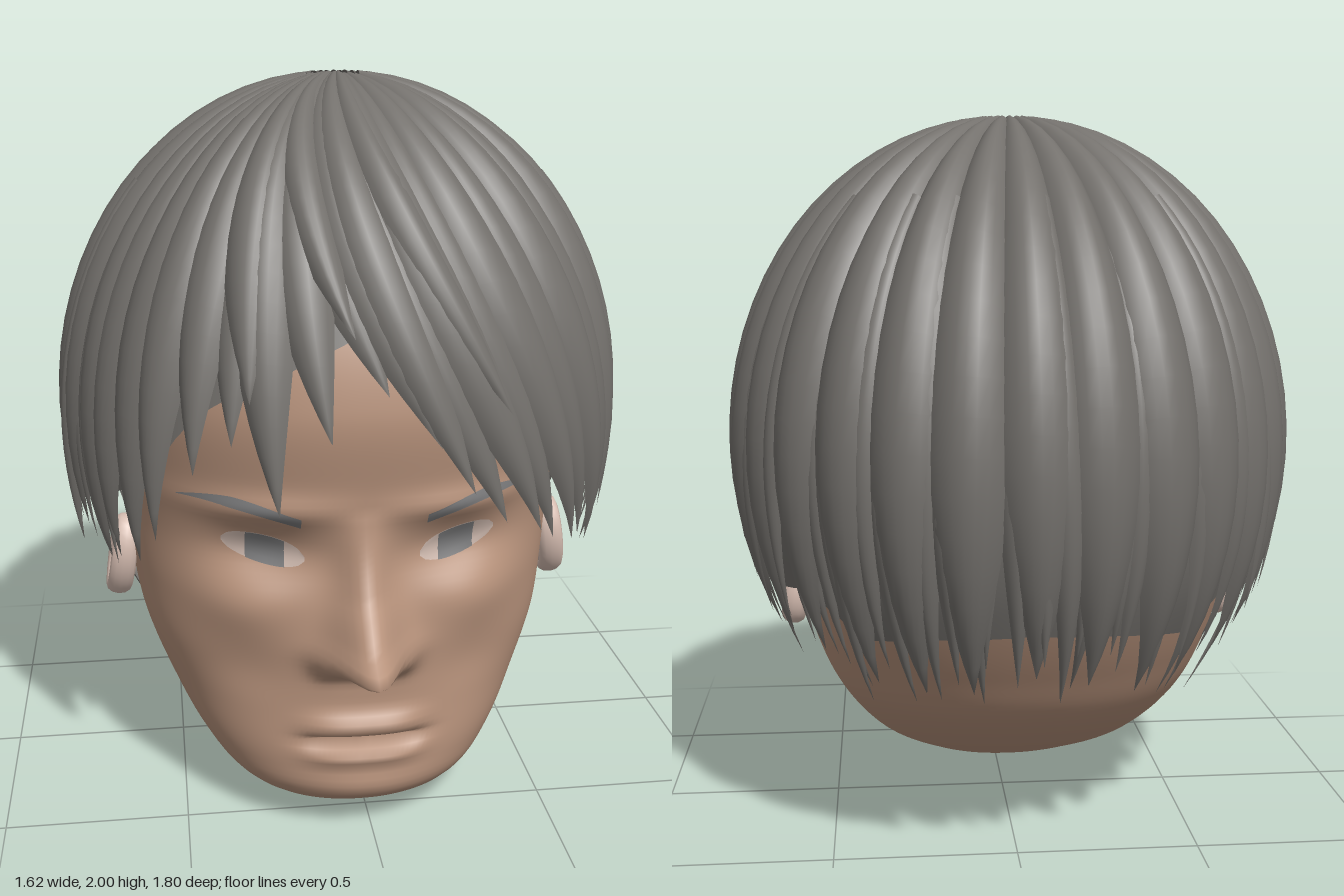
import * as THREE from 'three';
import { mergeVertices, mergeGeometries } from 'three/addons/utils/BufferGeometryUtils.js';

const mat = (name, color, side = THREE.FrontSide) => {
  const m = new THREE.MeshStandardMaterial({ color, side });
  m.name = name;
  return m;
};
const RAD = Math.PI / 180;
const clamp = THREE.MathUtils.clamp;

// Surface from fn(u, v) -> [x, y, z]; faces look along du x dv
function grid(nu, nv, fn) {
  const pos = [], idx = [];
  for (let j = 0; j <= nv; j++) for (let i = 0; i <= nu; i++) pos.push(...fn(i / nu, j / nv));
  for (let j = 0; j < nv; j++) for (let i = 0; i < nu; i++) {
    const a = j * (nu + 1) + i, b = a + 1, c = a + nu + 1, d = c + 1;
    idx.push(a, b, d, a, d, c);
  }
  let g = new THREE.BufferGeometry();
  g.setAttribute('position', new THREE.Float32BufferAttribute(pos, 3));
  g.setIndex(idx);
  g = mergeVertices(g, 1e-5);
  g.computeVertexNormals();
  return g;
}

// Smooth lookup in rows of [key, value, value, ...]
function lookup(keys, t, col, smooth = true) {
  const n = keys.length;
  let i = 0;
  while (i < n - 2 && t > keys[i + 1][0]) i++;
  const slope = k => {
    const a = keys[Math.max(k - 1, 0)], b = keys[Math.min(k + 1, n - 1)];
    return (b[col] - a[col]) / (b[0] - a[0]);
  };
  const a = keys[i], b = keys[i + 1], h = b[0] - a[0], s = clamp((t - a[0]) / h, 0, 1);
  if (!smooth) return a[col] + (b[col] - a[col]) * s;
  const s2 = s * s, s3 = s2 * s;
  return (2 * s3 - 3 * s2 + 1) * a[col] + (s3 - 2 * s2 + s) * h * slope(i)
    + (3 * s2 - 2 * s3) * b[col] + (s3 - s2) * h * slope(i + 1);
}

// Head sections: height, half width, back z, front z
const SECTIONS = [
  [0, 0.02, 0.33, 0.37], [0.03, 0.19, 0.18, 0.5], [0.1, 0.33, 0, 0.62], [0.2, 0.43, -0.22, 0.65],
  [0.35, 0.52, -0.43, 0.64], [0.5, 0.58, -0.54, 0.645], [0.65, 0.61, -0.63, 0.635], [0.8, 0.63, -0.7, 0.625],
  [0.95, 0.65, -0.74, 0.64], [1.2, 0.66, -0.76, 0.67], [1.5, 0.6, -0.66, 0.58], [1.75, 0.4, -0.45, 0.38],
  [1.86, 0.01, -0.05, -0.03],
];
const NOSE = [[0.46, 0], [0.5, 0.07], [0.535, 0.22], [0.56, 0.265], [0.6, 0.185], [0.7, 0.09], [0.8, 0.05], [0.93, 0]];
const P = 0.9;

function section(y) {
  const [w, zb, zf] = [1, 2, 3].map(c => lookup(SECTIONS, y, c));
  return { w: Math.max(w, 0.005), zc: (zf + zb) / 2, d: (zf - zb) / 2 };
}

// Relief of the face: nose, eye sockets, brows, cheeks, lips and chin
function relief(x, y) {
  const ax = Math.abs(x);
  const bump = (cx, cy, sx, sy, h) => h * Math.exp(-(((ax - cx) / sx) ** 2) - ((y - cy) / sy) ** 2);
  const lip = Math.exp(-((x / 0.16) ** 4));
  const noseWidth = 0.06 + 0.035 * clamp((0.75 - y) / 0.22, 0, 1);
  let z = 0;
  if (y > 0.46 && y < 0.93) z += lookup(NOSE, y, 1, false) * Math.exp(-((x / noseWidth) ** 2));
  z += bump(0.25, 0.8, 0.15, 0.075, -0.045) + bump(0.26, 0.93, 0.2, 0.04, 0.022);
  z += bump(0.33, 0.66, 0.13, 0.08, 0.022) + bump(0.3, 0.47, 0.13, 0.09, -0.02);
  z += bump(0.1, 0.51, 0.04, 0.035, 0.03) + bump(0, 0.14, 0.17, 0.06, 0.02);
  z += lip * (bump(0, 0.325, 1, 0.03, 0.03) + bump(0, 0.24, 1, 0.025, 0.025) + bump(0, 0.278, 1, 0.013, -0.04));
  return z;
}

function frontZ(x, y) {
  const { w, zc, d } = section(y);
  const s = Math.min(1, (Math.abs(x) / w) ** (2 / P));
  return zc + d * (1 - s) ** (P / 2) + relief(x, y);
}

function headGeometry() {
  return grid(120, 100, (u, v) => {
    const t = (u * 2 - 1) * Math.PI, a = t - 0.5 * Math.sin(t), y = v * 1.86;
    const { w, zc, d } = section(y);
    const sn = Math.sin(a), cs = Math.cos(a);
    const x = Math.abs(u - 0.5) > 0.4999 ? 0 : w * Math.sign(sn) * Math.abs(sn) ** P;
    const z = zc + d * Math.sign(cs) * Math.abs(cs) ** P + relief(x, y) * clamp(cs * 3, 0, 1);
    return [x, y, z];
  });
}

// Thin patch lying on the face between two height curves
function facePatch(x0, x1, low, high, off) {
  return grid(14, 5, (u, v) => {
    const x = x0 + (x1 - x0) * u, y = low(x) + (high(x) - low(x)) * v;
    return [x, y, frontZ(x, y) + off];
  });
}

// Hair shell: phi turns from the front towards +x, theta runs down from the crown
function hairPoint(phi, theta, f) {
  const s = Math.sin(theta) * f, c = Math.cos(phi);
  return [0.8 * Math.sin(phi) * s, 1.08 + 0.92 * Math.cos(theta) * f, (c > 0 ? 0.78 : 0.89) * c * s];
}
const thetaAt = y => Math.acos(clamp((y - 1.08) / 0.92, -1, 1));

// One bulging, pointed lock from phi0 at the crown to phi1 at the tip (degrees)
function lock({ phi0, phi1 = phi0, tip, half, start = 0.09, lift = 0, taper = 0.6, flare = 0, bulge = 0.07 }) {
  const end = thetaAt(tip);
  return grid(8, 20, (u, v) => {
    const s = 1 - v, theta = start + (end - start) * s, k = u * 2 - 1;
    const narrow = s < taper ? 1 : 1 - ((s - taper) / (1 - taper)) ** 1.4;
    const phi = (phi0 + (phi1 - phi0) * s ** 1.6 + k * half * narrow) * RAD;
    const g = Math.min(1, 1.4 * Math.sin(theta));
    return hairPoint(phi, theta, 1 + g * (lift - bulge * k * k * narrow) + flare * s ** 4);
  });
}

// Hem height around the head by angle from the front
const HEM = [[0, 1.2], [38, 0.95], [48, 0.84], [60, 0.77], [68, 0.64], [76, 0.74], [88, 0.74], [96, 0.62],
  [110, 0.54], [125, 0.58], [140, 0.46], [160, 0.5], [180, 0.52]];
const hem = deg => lookup(HEM, Math.abs(((deg + 540) % 360) - 180), 1, false);

// Swept fringe: crown angle, tip angle, tip height, half width, lift
const FRINGE = [
  [-58, -60, 0.73, 9, 0.0], [-48, -50, 0.77, 9, 0.02], [-42, -43, 0.86, 8, 0.03], [-36, -33, 1.06, 8, 0.03],
  [-30, -26, 1.14, 8, 0.01], [-27, -17, 0.98, 8, 0.04], [-22, -8, 1.16, 8, 0.03], [-30, -22, 1.25, 8, 0.05],
  [-20, 2, 1.27, 9, 0.01], [-16, 11, 1.14, 9, 0.03], [-12, 17, 1.02, 8, 0.05], [-8, 25, 0.92, 9, 0.03],
  [-2, 33, 0.88, 9, 0.05], [5, 39, 0.83, 9, 0.03], [14, 46, 0.8, 9, 0.04], [24, 52, 0.78, 9, 0.02],
  [36, 58, 0.74, 9, 0.03], [46, 64, 0.7, 9, 0.01], [-25, -4, 1.4, 7, 0.05], [-5, 24, 1.2, 7, 0.06],
];

function hairGeometry() {
  let seed = 7;
  const rnd = () => (seed = (seed * 16807) % 2147483647) / 2147483647;
  const parts = [];
  // broad locks round the sides and back
  for (let a = 52; a <= 308; a += 12.8) {
    parts.push(lock({ phi0: a, phi1: a + 3 * (rnd() - 0.5), tip: hem(a) + 0.06 * rnd(), half: 8.5,
      start: 0.08 + 0.06 * rnd(), taper: 0.66, lift: 0.015 * rnd() }));
  }
  // narrow locks that break up the hem
  for (let a = 54; a <= 306; a += 4.2) {
    parts.push(lock({ phi0: a, phi1: a + 6 * (rnd() - 0.5), tip: hem(a) + 0.14 * rnd() - 0.03, half: 3.4,
      start: 0.7, taper: 0.6, lift: -0.035 + 0.02 * rnd(), flare: 0.05 * rnd(), bulge: 0.03 }));
  }
  // fringe
  for (const [phi0, phi1, tip, half, lift] of FRINGE) {
    parts.push(lock({ phi0, phi1, tip, half, lift, taper: 0.55, start: 0.08 + 0.06 * rnd() }));
  }
  // stray tips at both sides and behind one ear
  parts.push(lock({ phi0: 82, tip: 0.78, half: 4, start: 0.8, lift: 0.01, flare: 0.04 }));
  parts.push(lock({ phi0: -78, tip: 0.72, half: 4, start: 0.8, lift: 0.01, flare: 0.03 }));
  parts.push(lock({ phi0: -99, tip: 0.36, half: 3, start: 1.2, lift: -0.02, flare: 0.08, bulge: 0.02 }));
  return mergeGeometries(parts);
}

// Close layer beneath the locks, cut along the hairline
function scalpGeometry() {
  return grid(72, 24, (u, v) => {
    const deg = u * 360 - 180, front = Math.max(0, 1 - Math.abs(deg) / 50);
    const line = hem(deg) + 0.14 + 0.1 * Math.min(1, front * 3);
    return hairPoint(deg * RAD, thetaAt(line) * (1 - v), 0.945);
  });
}

export function createModel() {
  const skin = mat('skin', 0xb8937c), earSkin = mat('pale skin', 0xd8bfb3);
  const hair = mat('hair grey', 0x74716d, THREE.DoubleSide);
  const white = mat('eye white', 0xcdb8ad, THREE.DoubleSide), iris = mat('iris grey', 0x7b7b7c, THREE.DoubleSide);
  const model = new THREE.Group();
  model.name = 'headWithHair';
  const add = (parent, name, geometry, material) => {
    const m = new THREE.Mesh(geometry, material);
    m.name = name;
    parent.add(m);
    return m;
  };

  const head = new THREE.Group();
  head.name = 'head';
  head.position.x = -0.025;
  model.add(head);
  add(head, 'face', headGeometry(), skin);

  for (const s of [1, -1]) {
    const side = s > 0 ? 'left' : 'right';
    const span = (a, b) => (s > 0 ? [a, b] : [-b, -a]);
    // eye, its inner corner slightly lower
    const mid = x => 0.81 + (Math.abs(x) - 0.26) * 0.2;
    const open = x => Math.sqrt(Math.max(0, 1 - ((Math.abs(x) - 0.26) / 0.108) ** 2));
    const low = x => mid(x) - 0.04 * open(x), high = x => mid(x) + 0.045 * open(x);
    add(head, side + 'EyeWhite', facePatch(...span(0.153, 0.367), low, high, 0.005), white);
    add(head, side + 'Iris', facePatch(...span(0.205, 0.305), low, high, 0.009), iris);
    // eyebrow
    const brow = x => 0.9 + 0.055 * Math.sin(clamp((Math.abs(x) - 0.16) / 0.32, 0, 1) * 2.2);
    const thick = x => 0.015 * clamp((0.49 - Math.abs(x)) / 0.15, 0, 1);
    add(head, side + 'Eyebrow', facePatch(...span(0.165, 0.48), x => brow(x) - thick(x), x => brow(x) + thick(x), 0.006), iris);
    // ear: rim and inner lobe
    const ear = new THREE.Group();
    ear.name = side + 'Ear';
    ear.position.set(s * 0.635, 0.635, 0.1);
    ear.rotation.set(0.3, 0, s * 0.15);
    add(ear, 'earRim', new THREE.TorusGeometry(0.095, 0.026, 12, 32).rotateY(Math.PI / 2).scale(1.4, 1.12, 0.72), earSkin);
    add(ear, 'earLobe', new THREE.SphereGeometry(1, 16, 12).scale(0.03, 0.06, 0.05).translate(-s * 0.015, -0.045, 0), earSkin);
    head.add(ear);
  }

  const hairGroup = new THREE.Group();
  hairGroup.name = 'hair';
  hairGroup.position.x = -0.015;
  add(hairGroup, 'scalpLayer', scalpGeometry(), hair);
  add(hairGroup, 'locks', hairGeometry(), hair);
  model.add(hairGroup);
  return model;
}
